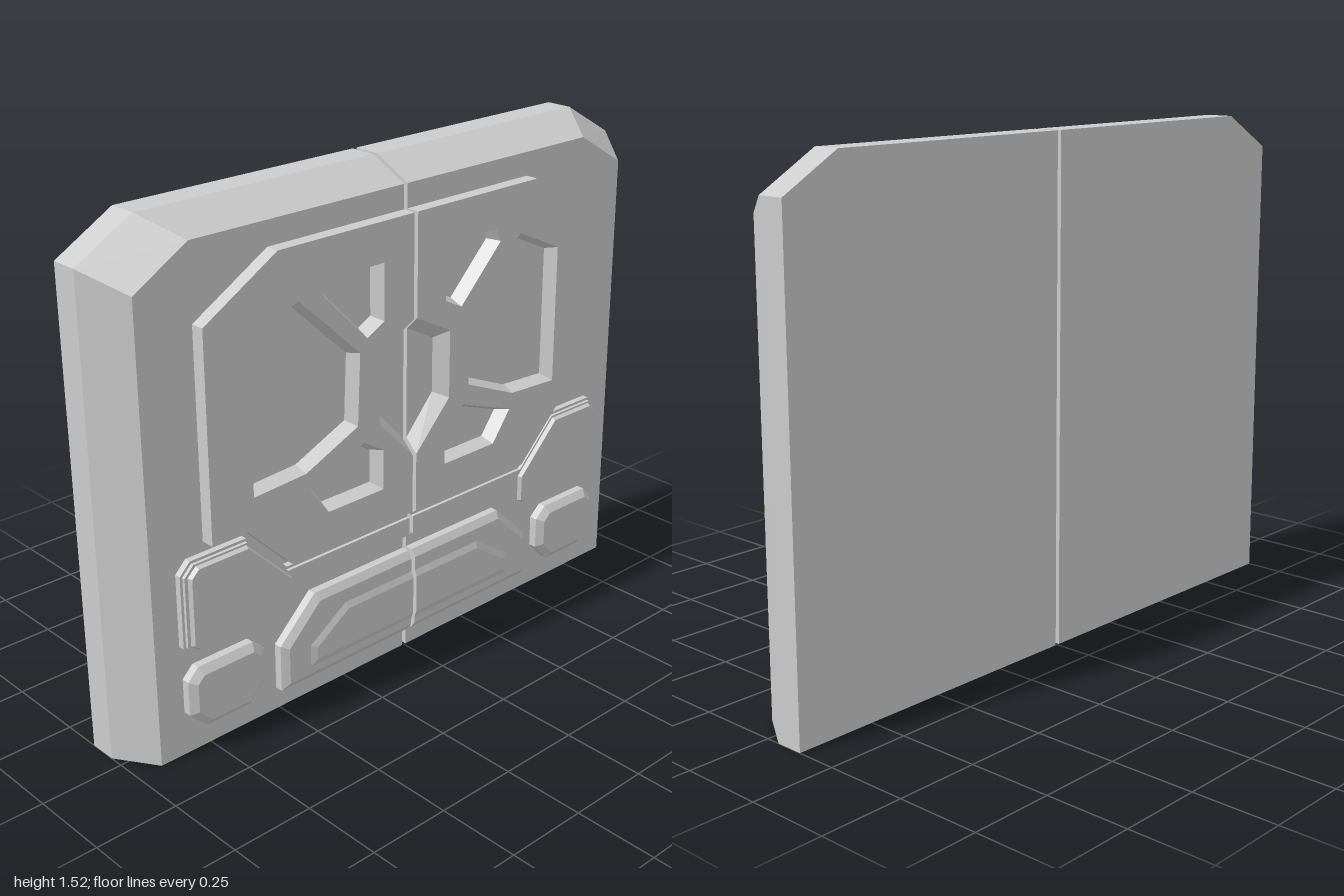
import * as THREE from 'three';

const GAP = 0.007;            // half the slit between the two door leaves
const FACE = 0.08;            // front plane of the slab

// Counter-clockwise list of Vector2 from [x, y] pairs
function outline(pairs) {
  const pts = pairs.map(([x, y]) => new THREE.Vector2(x, y));
  return THREE.ShapeUtils.isClockWise(pts) ? pts.reverse() : pts;
}

// Move every edge inward by d, but keep edges on the centre slit in place
function inset(pts, d) {
  const n = pts.length;
  const lines = pts.map((p, i) => {
    const q = pts[(i + 1) % n];
    const dir = q.clone().sub(p).normalize();
    const move = Math.abs(p.x - GAP) < 1e-6 && Math.abs(q.x - GAP) < 1e-6 ? 0 : d;
    return { p: p.clone().add(new THREE.Vector2(-dir.y, dir.x).multiplyScalar(move)), dir };
  });
  return pts.map((_, i) => {
    const a = lines[(i + n - 1) % n], b = lines[i];
    const t = b.p.clone().sub(a.p).cross(b.dir) / a.dir.cross(b.dir);
    return a.p.clone().addScaledVector(a.dir, t);
  });
}

// Flat-faced solid through outlines at rising z; holes are bevelled pockets in the last face.
// side = -1 mirrors it to the other leaf.
function loft(side, layers, { holes = [], holeInset = 0.015, back = false } = {}) {
  const pos = [];
  const tri = (a, b, c) => {
    for (const [p, z] of side > 0 ? [a, b, c] : [a, c, b]) pos.push(p.x * side, p.y, z);
  };
  const wall = (lo, z0, hi, z1) => lo.forEach((p, i) => {
    const j = (i + 1) % lo.length;
    tri([p, z0], [lo[j], z0], [hi[j], z1]);
    tri([p, z0], [hi[j], z1], [hi[i], z1]);
  });
  for (let i = 1; i < layers.length; i++) wall(...layers[i - 1], ...layers[i]);

  const [top, zTop] = layers[layers.length - 1];
  const [bottom, zBottom] = layers[0];
  const rims = holes.map((h) => h.slice().reverse());
  const all = [...top, ...rims.flat()];
  for (const [a, b, c] of THREE.ShapeUtils.triangulateShape(top.slice(), rims.map((r) => r.slice())))
    tri([all[a], zTop], [all[b], zTop], [all[c], zTop]);
  holes.forEach((h) => wall(inset(h, holeInset).reverse(), zBottom, h.slice().reverse(), zTop));
  if (back) for (const [a, b, c] of THREE.ShapeUtils.triangulateShape(bottom.slice(), []))
    tri([bottom[a], zBottom], [bottom[c], zBottom], [bottom[b], zBottom]);

  const geo = new THREE.BufferGeometry();
  geo.setAttribute('position', new THREE.Float32BufferAttribute(pos, 3));
  geo.computeVertexNormals();
  return geo;
}

// Outlines of one leaf
const slabBack = outline([[GAP, 0], [1, 0], [1, 1.42], [0.82, 1.525], [GAP, 1.525]]);
const slabFront = outline([[GAP, 0], [0.92, 0], [0.92, 1.36], [0.745, 1.465], [GAP, 1.465]]);

// Main panel, with half of the central hexagonal pocket as a notch
const panelWith = (notch) => outline([
  [GAP, 0.475], [0.47, 0.475], [0.625, 0.63], [0.745, 0.63], [0.745, 1.245],
  [0.495, 1.393], [GAP, 1.393], ...notch,
]);
const panelTop = panelWith([[GAP, 1.082], [0.14, 1.01], [0.14, 0.8], [GAP, 0.66]]);
const panelBase = panelWith([[GAP, 1.04], [0.11, 0.985], [0.11, 0.815], [GAP, 0.7]]);
const pockets = [
  [[0.43, 1.24], [0.6, 1.16], [0.6, 0.725], [0.415, 0.735], [0.222, 0.818], [0.212, 1.035]],
  [[0.12, 1.275], [0.325, 1.275], [0.345, 1.235], [0.185, 1.072], [0.12, 1.105]],
  [[0.2, 0.76], [0.125, 0.715], [0.125, 0.59], [0.335, 0.59], [0.405, 0.685]],
].map(outline);

// Stepped band and its end pad
const band = outline([
  [GAP, 0.387], [0.355, 0.387], [0.465, 0.32], [0.81, 0.32], [0.84, 0.345],
  [0.84, 0.565], [0.805, 0.6], [0.615, 0.6], [0.475, 0.46], [GAP, 0.46],
]);
const pad = outline([
  [0.49, 0.333], [0.8, 0.333], [0.822, 0.352], [0.822, 0.56],
  [0.795, 0.586], [0.622, 0.586], [0.468, 0.432], [0.468, 0.347],
]);

// Lower bumper and corner block
const bumper = outline([[GAP, 0.07], [0.51, 0.07], [0.51, 0.215], [0.38, 0.34], [GAP, 0.34]]);
const ridge = outline([[GAP, 0.115], [0.41, 0.115], [0.41, 0.185], [0.275, 0.275], [GAP, 0.275]]);
const block = outline([
  [0.625, 0.08], [0.78, 0.08], [0.835, 0.135], [0.835, 0.24],
  [0.8, 0.275], [0.61, 0.275], [0.57, 0.24], [0.57, 0.14],
]);

export function createModel() {
  const model = new THREE.Group();
  model.name = 'doubleDoor';
  const grey = new THREE.MeshStandardMaterial({ color: 0xcccccc });
  grey.name = 'light grey metal';

  for (const side of [1, -1]) {
    const leaf = new THREE.Group();
    leaf.name = side > 0 ? 'leftDoorLeaf' : 'rightDoorLeaf';
    const add = (name, layers, options) => {
      const mesh = new THREE.Mesh(loft(side, layers, options), grey);
      mesh.name = name;
      leaf.add(mesh);
    };
    add('slab', [[slabBack, -0.128], [slabBack, -0.043], [slabFront, FACE]], { back: true });
    add('mainPanel', [[panelBase, FACE], [panelTop, 0.122]], { holes: pockets });
    add('band', [[band, FACE], [band, 0.1]]);
    add('bandStep', [[inset(band, 0.008), 0.1], [inset(band, 0.008), 0.11]]);
    add('bandPad', [[pad, 0.11], [inset(pad, 0.006), 0.122]]);
    add('cornerBlock', [[block, FACE], [block, 0.105], [inset(block, 0.022), 0.122]]);
    add('bumper', [[bumper, FACE], [bumper, 0.105], [inset(bumper, 0.022), 0.12]]);
    add('bumperRidge', [[ridge, 0.12], [inset(ridge, 0.02), 0.128]]);
    model.add(leaf);
  }
  return model;
}
